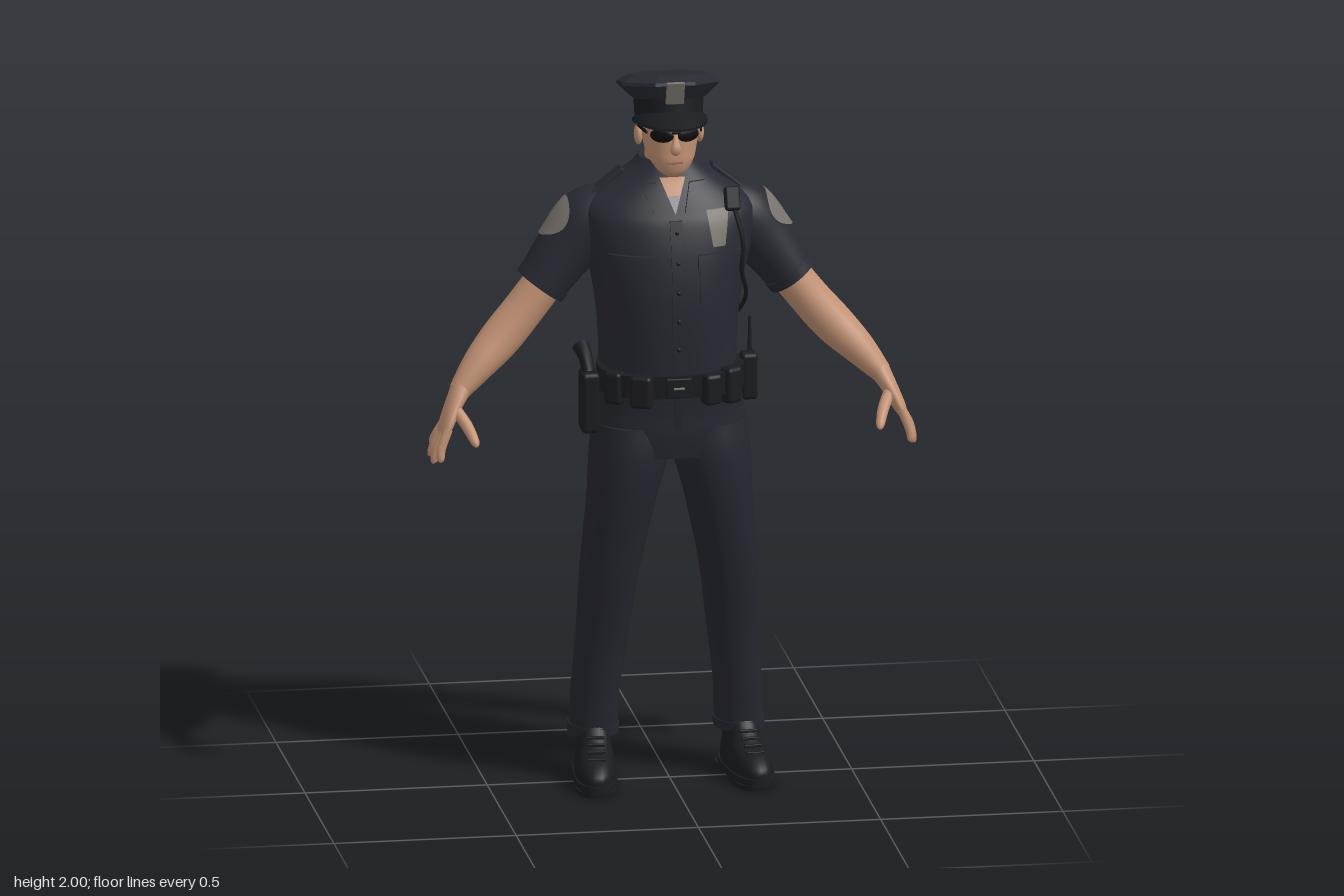
import * as THREE from 'three';
import { RoundedBoxGeometry } from 'three/addons/geometries/RoundedBoxGeometry.js';

const V = (x, y, z) => new THREE.Vector3(x, y, z);
const mat = (name, color, side = THREE.FrontSide) => {
  const m = new THREE.MeshStandardMaterial({ color, side });
  m.name = name;
  return m;
};

// Smooth blend through rows of numbers, t from 0 to 1
function blend(rows, t) {
  const last = rows.length - 1, f = Math.min(t, 1) * last;
  const i = Math.min(Math.floor(f), last - 1), k = f - i;
  const row = (n) => rows[Math.max(0, Math.min(last, n))];
  return row(i).map((b, q) => {
    const a = row(i - 1)[q], c = row(i + 1)[q], d = row(i + 2)[q];
    return b + 0.5 * k * (c - a + k * (2 * a - 5 * b + 4 * c - d + k * (3 * (b - c) + d - a)));
  });
}
const dense = (rows, n) => Array.from({ length: n + 1 }, (_, i) => blend(rows, i / n));
const pow = (c, n) => Math.sign(c) * Math.abs(c) ** (2 / n);

// Closed skin over rings that run counter-clockwise about the direction of travel
function skinOver(rings) {
  const n = rings[0].length, m = rings.length, pos = [], idx = [];
  const put = (p) => pos.push(p.x, p.y, p.z) / 3 - 1;
  rings.forEach((r) => r.forEach(put));
  for (let i = 0; i < m - 1; i++) for (let j = 0; j < n; j++) {
    const a = i * n + j, b = i * n + (j + 1) % n;
    idx.push(a, b, b + n, a, b + n, a + n);
  }
  [rings[0], rings[m - 1]].forEach((r, end) => {
    const c = put(r.reduce((s, p) => s.add(p), V(0, 0, 0)).divideScalar(n)), k = c + 1;
    r.forEach(put);
    for (let j = 0; j < n; j++) {
      const a = k + j, b = k + (j + 1) % n;
      idx.push(c, ...(end ? [a, b] : [b, a]));
    }
  });
  const g = new THREE.BufferGeometry();
  g.setAttribute('position', new THREE.Float32BufferAttribute(pos, 3));
  g.setIndex(idx);
  g.computeVertexNormals();
  return g;
}

// Level sections going up: [y, centre x, half width, front z, back z]
function stack(rows, { steps = 24, seg = 32, n = 2.3, zc = null, phase = 0 } = {}) {
  return skinOver((steps ? dense(rows, steps) : rows).map(([y, cx, rx, zf, zb]) => {
    const c = zc ?? (zf + zb) / 2;
    return Array.from({ length: seg }, (_, j) => {
      const a = (j / seg) * Math.PI * 2 + phase, s = -Math.sin(a);
      return V(cx + rx * pow(Math.cos(a), n), y, c + pow(s, n) * (s > 0 ? zf - c : c - zb));
    });
  }));
}

// Point on a limb with sections [x, y, z, radius across, radius in depth]
function limbPoint(rows, s, t, angle, grow = 0) {
  const q = blend(rows, t), p = blend(rows, Math.max(0, t - 0.02)), r = blend(rows, Math.min(1, t + 0.02));
  const dir = V((r[0] - p[0]) * s, r[1] - p[1], r[2] - p[2]).normalize();
  const u = V(0, 0, s).cross(dir).normalize(), v = dir.clone().cross(u);
  return V(q[0] * s, q[1], q[2])
    .addScaledVector(u, Math.cos(angle) * (q[3] + grow)).addScaledVector(v, Math.sin(angle) * (q[4] + grow));
}
const limb = (rows, s, steps = 16, seg = 20) => skinOver(Array.from({ length: steps + 1 }, (_, i) =>
  Array.from({ length: seg }, (_, j) => limbPoint(rows, s, i / steps, (j / seg) * Math.PI * 2))));

const TORSO = [[1.1, 0, 0.19, 0.145, -0.135], [1.2, 0, 0.187, 0.155, -0.122], [1.3, 0, 0.192, 0.163, -0.14],
  [1.4, 0, 0.205, 0.163, -0.167], [1.5, 0, 0.228, 0.147, -0.184], [1.58, 0, 0.24, 0.122, -0.182],
  [1.62, 0, 0.23, 0.1, -0.172], [1.655, 0, 0.19, 0.078, -0.16], [1.69, 0, 0.14, 0.055, -0.145],
  [1.72, 0, 0.1, 0.04, -0.128], [1.745, 0, 0.078, 0.025, -0.115]];
const TORSO_ROWS = dense(TORSO, 60), TORSO_Z = -0.05;

// Depth of the shirt front at a given x and y
function chestZ(x, y) {
  let i = TORSO_ROWS.findIndex((r) => r[0] > y);
  i = i < 1 ? (i === 0 ? 1 : 60) : i;
  const a = TORSO_ROWS[i - 1], b = TORSO_ROWS[i], k = (y - a[0]) / (b[0] - a[0]);
  const rx = a[2] + (b[2] - a[2]) * k, zf = a[3] + (b[3] - a[3]) * k;
  return TORSO_Z + (zf - TORSO_Z) * Math.max(0, 1 - Math.abs(x / rx) ** 2.3) ** (1 / 2.3);
}

// Thin plate that hugs the shirt front; taper narrows and skew shifts it with height
function chestPlate(x, y, w, h, d = 0.008, taper = 0, skew = 0) {
  const g = new THREE.BoxGeometry(w, h, d, 8, 8, 1), p = g.attributes.position;
  for (let i = 0; i < p.count; i++) {
    const ly = p.getY(i), px = x + p.getX(i) * (1 - taper * (0.5 - ly / h)) + skew * ly;
    p.setXYZ(i, px, y + ly, p.getZ(i) + 0.003 + chestZ(px, y + ly));
  }
  g.computeVertexNormals();
  return g;
}

export function createModel() {
  const root = new THREE.Group();
  root.name = 'officer';
  const shirt = mat('shirt navy', 0x282932), trouser = mat('trouser navy', 0x25262f);
  const leather = mat('black leather', 0x1b1c20), skin = mat('skin', 0xc29274);
  const badge = mat('badge grey', 0x77736c, THREE.DoubleSide), hair = mat('hair', 0x2d2825);
  const lens = mat('dark glass', 0x0d0d10), lip = mat('lips', 0x9a6a54), vest = mat('undershirt grey', 0x8b8c90);
  const add = (name, g, m, parent = root) => {
    const mesh = new THREE.Mesh(g, m);
    mesh.name = name;
    parent.add(mesh);
    return mesh;
  };
  const box = (name, m, w, h, d, x, y, z, parent = root) => {
    const b = add(name, new RoundedBoxGeometry(w, h, d, 2, Math.min(w, h, d) * 0.25), m, parent);
    b.position.set(x, y, z);
    return b;
  };
  const ball = (name, m, x, y, z, sx, sy, sz, parent = root) => {
    const b = add(name, new THREE.SphereGeometry(1, 18, 12), m, parent);
    b.position.set(x, y, z);
    b.scale.set(sx, sy, sz);
    return b;
  };

  // Shirt
  add('shirtBody', stack(TORSO, { steps: 60, seg: 48, zc: TORSO_Z }), shirt);
  add('placket', chestPlate(0, 1.39, 0.035, 0.42, 0.006), shirt);
  for (let i = 0; i < 5; i++) ball('button', leather, 0, 1.25 + i * 0.08, chestZ(0, 1.25 + i * 0.08) + 0.006, 0.006, 0.006, 0.003);
  add('openNeck', chestPlate(0, 1.66, 0.07, 0.09, 0.006, 1), skin);
  add('undershirt', chestPlate(0, 1.638, 0.032, 0.045, 0.009, 1), vest);
  const collar = add('collar', stack([[-0.03, 0, 0.102, 0.1, -0.1], [0.03, 0, 0.08, 0.082, -0.085]], { steps: 4 }), shirt);
  collar.position.set(0, 1.705, -0.035);
  collar.rotation.x = 0.45;
  add('badge', chestPlate(0.117, 1.575, 0.064, 0.095, 0.009, 0.45), badge);

  // Trouser seat
  add('trouserSeat', stack([[0.935, 0, 0.2, 0.135, -0.138], [1.0, 0, 0.209, 0.142, -0.152],
    [1.06, 0, 0.2, 0.142, -0.142], [1.14, 0, 0.19, 0.147, -0.132]], { n: 2.5 }), trouser);
  add('fly', chestPlate(0, 1.07, 0.02, 0.1, 0.006), trouser);

  for (const s of [1, -1]) {
    // Shirt pockets, collar points, shoulder straps
    add('pocket', chestPlate(s * 0.118, 1.435, 0.115, 0.12, 0.009), shirt);
    add('pocketFlap', chestPlate(s * 0.118, 1.49, 0.125, 0.04, 0.02), shirt);
    add('collarPoint', chestPlate(s * 0.055, 1.655, 0.045, 0.075, 0.014, 0.3, s * 0.35), shirt);
    box('shoulderStrap', shirt, 0.11, 0.012, 0.045, s * 0.165, 1.677, -0.05).rotation.z = -s * 0.68;

    // Sleeves and their patches
    const sleeve = [[0.12, 1.6, -0.07, 0.07, 0.085], [0.2, 1.56, -0.07, 0.097, 0.098],
      [0.27, 1.49, -0.066, 0.084, 0.088], [0.345, 1.388, -0.058, 0.07, 0.08]];
    add('sleeve', limb(sleeve, s, 20, 28), shirt);
    add('sleeveHem', limb([[0.33, 1.408, -0.059, 0.075, 0.085], [0.347, 1.385, -0.058, 0.074, 0.084]], s, 2, 28), shirt);
    const patch = new THREE.RingGeometry(0.001, 1, 32, 6), p = patch.attributes.position;
    for (let i = 0; i < p.count; i++) {
      const q = limbPoint(sleeve, s, 0.54 - p.getY(i) * 0.17, p.getX(i) * 0.85, 0.004);
      p.setXYZ(i, q.x, q.y, q.z);
    }
    patch.computeVertexNormals();
    add('sleevePatch', patch, badge);

    // Arm, palm, fingers and thumb
    add('arm', limb([[0.3, 1.44, -0.06, 0.055, 0.062], [0.385, 1.33, -0.056, 0.055, 0.062], [0.455, 1.25, -0.04, 0.056, 0.058],
      [0.52, 1.185, -0.012, 0.046, 0.05], [0.58, 1.118, 0.016, 0.029, 0.036]], s), skin);
    add('palm', limb([[0.572, 1.13, 0.013, 0.029, 0.035], [0.6, 1.08, 0.034, 0.022, 0.045],
      [0.624, 1.03, 0.055, 0.017, 0.05], [0.635, 1.005, 0.06, 0.008, 0.042]], s), skin);
    [[0.016, 0.0, 0.65, 0.965], [0.044, 0.034, 0.66, 0.945], [0.07, 0.073, 0.657, 0.935], [0.096, 0.113, 0.645, 0.948]]
      .forEach(([z0, z1, x, y]) => add('finger', limb([[0.622, 1.035, z0, 0.013, 0.013],
        [(0.64 + x) / 2, (1.02 + y) / 2, (z0 + z1) / 2, 0.013, 0.013], [x, y + 0.008, z1, 0.01, 0.01], [x, y, z1, 0.003, 0.003]], s, 9, 10), skin));
    add('thumb', limb([[0.6, 1.085, 0.05, 0.016, 0.018], [0.572, 1.045, 0.1, 0.016, 0.016],
      [0.556, 1.01, 0.145, 0.012, 0.012], [0.554, 1.0, 0.157, 0.004, 0.004]], s, 9, 12), skin);

    // Trouser leg and cuff
    add('trouserLeg', stack([[0.13, 0.2, 0.066, 0.018, -0.148], [0.25, 0.195, 0.065, 0.033, -0.146], [0.4, 0.18, 0.07, 0.055, -0.13],
      [0.6, 0.163, 0.08, 0.1, -0.115], [0.8, 0.133, 0.092, 0.135, -0.13], [0.93, 0.112, 0.106, 0.145, -0.146],
      [1.02, 0.106, 0.1, 0.135, -0.143]].map((r) => [r[0], r[1] * s, ...r.slice(2)]), { steps: 36 }), trouser);
    add('cuff', stack([[0.125, s * 0.2, 0.069, 0.02, -0.152], [0.15, s * 0.199, 0.069, 0.023, -0.152]], { steps: 2 }), trouser);

    // Boot, turned slightly outward
    const boot = new THREE.Group();
    boot.name = 'boot';
    boot.position.x = s * 0.205;
    boot.rotation.y = s * 0.11;
    root.add(boot);
    add('sole', stack([[0.012, 0, 0.06, 0.184, -0.14], [0.032, 0, 0.06, 0.184, -0.14]], { steps: 2, n: 2.6 }), leather, boot);
    add('heel', stack([[0, 0, 0.056, -0.04, -0.14], [0.014, 0, 0.056, -0.04, -0.14]], { steps: 2, n: 3 }), leather, boot);
    add('tread', stack([[0, 0, 0.057, 0.18, -0.01], [0.014, 0, 0.058, 0.182, -0.01]], { steps: 2, n: 2.6 }), leather, boot);
    add('bootUpper', stack([[0.03, 0, 0.057, 0.18, -0.135], [0.055, 0, 0.056, 0.176, -0.134], [0.082, 0, 0.05, 0.14, -0.13],
      [0.105, 0, 0.046, 0.075, -0.125], [0.135, 0, 0.046, 0.035, -0.12], [0.17, 0, 0.048, 0.01, -0.12]]), leather, boot);
    for (let i = 0; i < 4; i++) box('lace', leather, 0.05, 0.008, 0.01, 0, 0.09 + i * 0.014, 0.115 - i * 0.024, boot);

    // Ears, glasses and brows
    ball('ear', skin, s * 0.084, 1.815, -0.01, 0.012, 0.03, 0.02);
    ball('lens', lens, s * 0.036, 1.838, 0.098, 0.033, 0.02, 0.009).rotation.y = s * 0.38;
    box('glassesArm', lens, 0.005, 0.008, 0.085, s * 0.081, 1.843, 0.035).rotation.y = -s * 0.15;
    ball('brow', hair, s * 0.036, 1.862, 0.095, 0.026, 0.005, 0.007).rotation.y = s * 0.38;
  }

  // Neck and head
  add('neck', stack([[1.64, 0, 0.068, 0.02, -0.105], [1.72, 0, 0.062, 0.032, -0.1], [1.8, 0, 0.064, 0.04, -0.092]], { steps: 8 }), skin);
  add('head', stack([[1.716, 0, 0.022, 0.08, 0.02], [1.73, 0, 0.042, 0.092, -0.005], [1.76, 0, 0.062, 0.1, -0.05],
    [1.79, 0, 0.071, 0.1, -0.085], [1.83, 0, 0.078, 0.1, -0.1], [1.87, 0, 0.08, 0.098, -0.1], [1.92, 0, 0.074, 0.08, -0.09]]), skin);
  add('nose', limb([[0, 1.85, 0.094, 0.008, 0.009], [0, 1.82, 0.106, 0.01, 0.01], [0, 1.8, 0.112, 0.015, 0.014], [0, 1.788, 0.104, 0.011, 0.009]], 1, 8, 12), skin);
  box('mouth', lip, 0.042, 0.007, 0.008, 0, 1.76, 0.099);
  box('glassesBridge', lens, 0.02, 0.006, 0.006, 0, 1.846, 0.108);
  add('hair', stack([[1.785, 0, 0.066, -0.03, -0.094], [1.82, 0, 0.08, -0.01, -0.104], [1.88, 0, 0.085, 0.03, -0.106]], { steps: 8 }), hair);

  // Peaked cap, tipped back
  const cap = new THREE.Group();
  cap.name = 'cap';
  cap.position.set(0, 1.87, -0.01);
  cap.rotation.x = -0.2;
  root.add(cap);
  add('capBand', stack([[-0.02, 0, 0.092, 0.105, -0.107], [0.055, 0, 0.095, 0.109, -0.109]], { steps: 2, n: 2 }), leather, cap);
  const k = 1 / Math.cos(Math.PI / 8);
  const crown = stack([[0.045, 0, 0.094, 0.106, -0.106], [0.083, 0, 0.133, 0.135, -0.136], [0.092, 0, 0.131, 0.133, -0.134],
    [0.108, 0, 0.1, 0.104, -0.104], [0.111, 0, 0.05, 0.05, -0.05]].map((r) => [r[0], 0, ...r.slice(2).map((q) => q * k)]),
  { steps: 0, seg: 8, n: 2, phase: Math.PI / 8 }).toNonIndexed();
  crown.computeVertexNormals();
  add('capCrown', crown, shirt, cap);
  add('visor', skinOver(Array.from({ length: 25 }, (_, i) => {
    const a = (i / 24) * Math.PI, c = Math.cos(a), s = Math.sin(a);
    const at = (r, z, y) => V(r * c, y, z * s);
    const low = -0.012 - 0.022 * s;
    return [at(0.101, 0.185, low - 0.004), at(0.101, 0.185, low + 0.004), at(0.09, 0.1, 0.014 * s), at(0.09, 0.1, 0.014 * s - 0.008)];
  })), leather, cap);
  const capBadge = box('capBadge', badge, 0.05, 0.068, 0.009, 0, 0.063, 0.126, cap);
  capBadge.rotation.x = 0.5;

  // Belt with its buckle and pouches
  add('belt', stack([[1.112, 0, 0.2, 0.16, -0.146], [1.175, 0, 0.2, 0.163, -0.142]], { steps: 2, n: 2.5 }), leather);
  box('buckle', leather, 0.07, 0.055, 0.014, 0, 1.143, 0.164);
  box('buckleTongue', badge, 0.03, 0.006, 0.006, 0, 1.143, 0.172);
  [[-0.1, 0.155, 0.06, 0.09], [0.09, 0.155, 0.05, 0.085], [0.15, 0.12, 0.05, 0.1], [-0.165, 0.1, 0.05, 0.09]]
    .forEach(([x, z, w, h]) => { box('pouch', leather, w, h, 0.045, x, 1.135, z).rotation.y = x * 4; });
  [-0.11, 0.11].forEach((x) => box('beltKeeper', leather, 0.022, 0.075, 0.012, x, 1.143, -0.137));

  // Holster and pistol grip
  box('holster', leather, 0.05, 0.17, 0.08, -0.222, 1.075, 0.01);
  add('pistolGrip', limb([[0.222, 1.15, 0.01, 0.018, 0.028], [0.228, 1.19, -0.015, 0.019, 0.026], [0.236, 1.215, -0.045, 0.024, 0.024]], -1, 8, 12), leather);

  // Radio, antenna, shoulder microphone and cord
  box('radio', leather, 0.045, 0.13, 0.055, 0.217, 1.125, 0.0);
  add('antenna', limb([[0.222, 1.18, -0.01, 0.006, 0.006], [0.222, 1.285, -0.015, 0.004, 0.004]], 1, 2, 8), leather);
  box('microphone', leather, 0.042, 0.065, 0.03, 0.16, 1.645, 0.075).rotation.x = -0.4;
  const cord = new THREE.CatmullRomCurve3([V(0.165, 1.62, 0.085), V(0.185, 1.53, 0.107), V(0.183, 1.45, 0.098),
    V(0.204, 1.37, 0.04), V(0.2, 1.29, -0.07), V(0.17, 1.23, -0.15)]);
  add('cord', new THREE.TubeGeometry(cord, 40, 0.006, 8), leather);
  ball('cordEnd', leather, 0.17, 1.23, -0.155, 0.018, 0.022, 0.018);

  return root;
}
